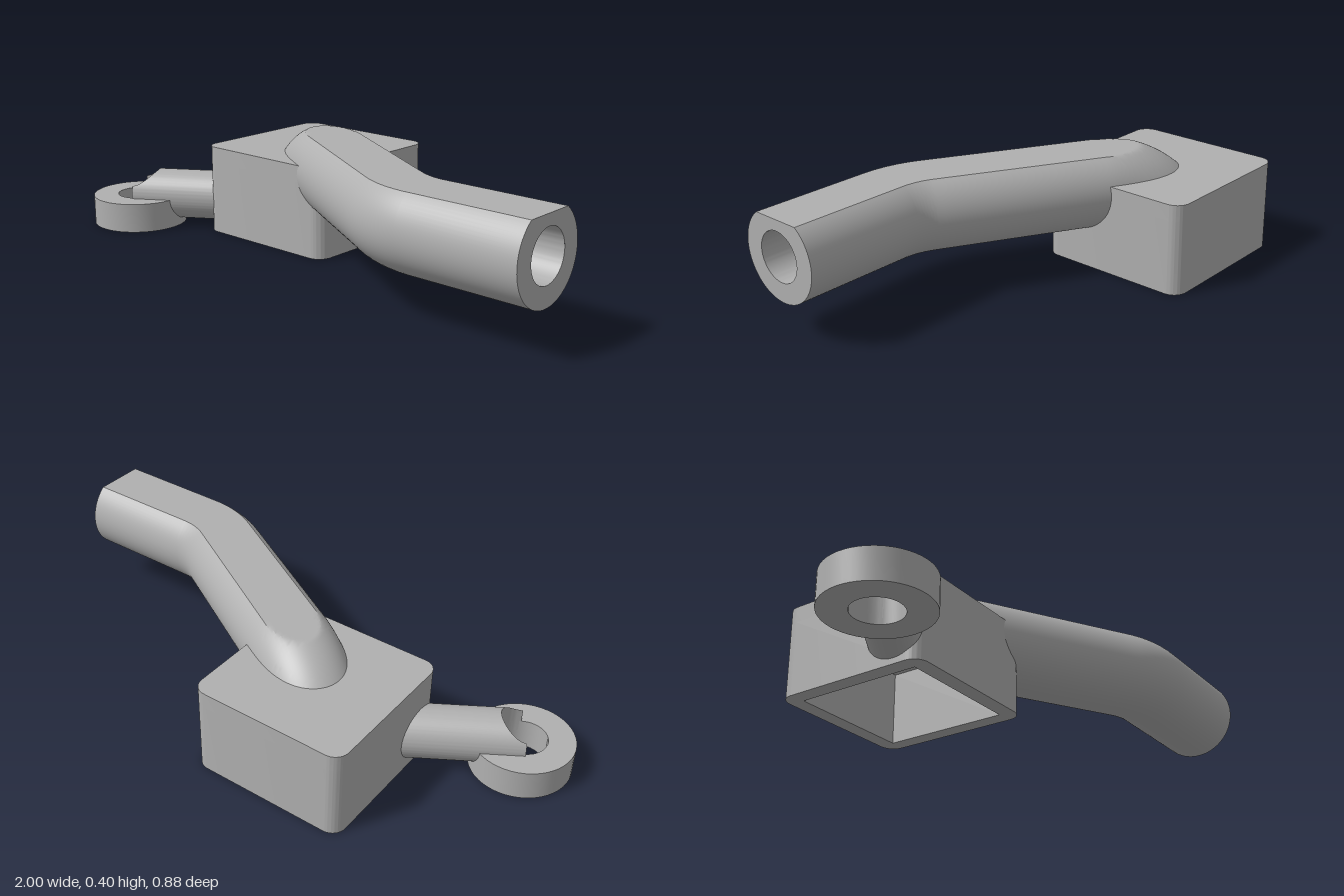
import * as THREE from 'three';
import { toCreasedNormals } from 'three/addons/utils/BufferGeometryUtils.js';

const V = (x, y, z) => new THREE.Vector3(x, y, z);
const UP = V(0, 1, 0);
const PIPE_Y = 0.28, PIPE_R = 0.15, BORE_R = 0.083, FLAT_Y = 0.4, BEND = 0.3;
const CUT = Math.asin((FLAT_Y - PIPE_Y) / PIPE_R); // where the flat top meets the round

// Surface through rows of points
function skin(rows, inward = false) {
  const n = rows[0].length, idx = [];
  for (let i = 0; i < rows.length - 1; i++) {
    for (let j = 0; j < n - 1; j++) {
      const a = i * n + j, b = a + n, c = a + 1, d = b + 1;
      if (inward) idx.push(a, c, b, c, d, b);
      else idx.push(a, b, c, c, b, d);
    }
  }
  const g = new THREE.BufferGeometry().setFromPoints(rows.flat());
  g.setIndex(idx);
  return toCreasedNormals(g, 0.5);
}

// Plan shape (shape y = -z) raised from y0 to y1
function raise(shape, y0, y1) {
  const g = new THREE.ExtrudeGeometry(shape, { depth: y1 - y0, bevelEnabled: false, curveSegments: 24 });
  g.rotateX(-Math.PI / 2).translate(0, y0, 0);
  return toCreasedNormals(g, 0.5);
}

function roundedPlan(x0, x1, z0, z1, r) {
  const s = new THREE.Shape(), q = Math.PI / 2;
  s.absarc(x1 - r, -z0 - r, r, 0, q);
  s.absarc(x0 + r, -z0 - r, r, q, 2 * q);
  s.absarc(x0 + r, -z1 + r, r, 2 * q, 3 * q);
  s.absarc(x1 - r, -z1 + r, r, 3 * q, 4 * q);
  s.closePath();
  return s;
}

// Pipe centre line: rises out of the housing, runs diagonally, then bends straight
function pipePath() {
  const path = [], tilt = Math.PI / 6;
  const dir = V(Math.cos(tilt), 0, Math.sin(tilt));
  const side = V(-dir.z, 0, dir.x);
  const start = V(-0.06, PIPE_Y, -0.038), mid = V(0.44, PIPE_Y, 0.25);
  for (let i = 0; i < 40; i++) {
    const a = (50 * (1 - i / 40) * Math.PI) / 180;
    const p = start.clone().addScaledVector(dir, -BEND * Math.sin(a));
    p.y -= BEND * (1 - Math.cos(a));
    path.push({ p, side, up: side.clone().cross(dir.clone().multiplyScalar(Math.cos(a)).addScaledVector(UP, Math.sin(a))) });
  }
  for (let i = 0; i < 60; i++) path.push({ p: start.clone().lerp(mid, i / 60), side, up: UP });
  for (let i = 0; i <= 16; i++) {
    const a = tilt * (1 - i / 16);
    path.push({
      p: V(0.59 - BEND * Math.sin(a), PIPE_Y, -0.01 + BEND * Math.cos(a)),
      side: V(-Math.sin(a), 0, Math.cos(a)), up: UP,
    });
  }
  path.push({ p: V(1, PIPE_Y, 0.29), side: V(0, 0, 1), up: UP });
  return path;
}

function pipeSkin(radius, inward) {
  const angles = [];
  for (let i = 0; i < 16; i++) angles.push(CUT + ((Math.PI - 2 * CUT) * i) / 16);
  for (let i = 0; i <= 64; i++) angles.push(Math.PI - CUT + ((Math.PI + 2 * CUT) * i) / 64);
  const rows = pipePath().map(({ p, side, up }) => angles.map((a) => {
    const v = p.clone().addScaledVector(side, radius * Math.cos(a)).addScaledVector(up, radius * Math.sin(a));
    v.y = Math.min(v.y, FLAT_Y);
    // keep the hollow of the housing clear
    if (v.x < -0.01 && v.z < 0.09) v.y = Math.max(v.y, 0.29);
    return v;
  }));
  return skin(rows, inward);
}

// Round arm ending at the eyelet, with the eyelet hole cut through it
function armSkin(centre, r, hole, y, endX) {
  const a = (32 * Math.PI) / 180;
  const u = V(Math.cos(a), 0, -Math.sin(a)), side = V(Math.sin(a), 0, Math.cos(a));
  const rows = [[], [], []];
  for (let i = 0; i <= 96; i++) {
    const phi = (i / 96) * Math.PI * 2, w = r * Math.cos(phi), h = r * Math.sin(phi);
    const near = Math.sqrt(Math.max(0, hole * hole - w * w));
    const far = (endX - centre.x - side.x * w) / u.x;
    const at = (t, yy) => centre.clone().addScaledVector(u, t).addScaledVector(side, w).setY(yy);
    rows[0].push(at(near, y));
    rows[1].push(at(near, y + h));
    rows[2].push(at(far, y + h));
  }
  return skin(rows);
}

export function createModel() {
  const model = new THREE.Group();
  const grey = new THREE.MeshStandardMaterial({ color: 0xb0b0b0 });
  grey.name = 'grey';
  const add = (name, geometry, parent = model) => {
    const m = new THREE.Mesh(geometry, grey);
    m.name = name;
    parent.add(m);
    return m;
  };

  // Housing, open underneath
  const housing = new THREE.Group();
  housing.name = 'housing';
  model.add(housing);
  const box = [-0.545, 0.015, -0.442, 0.117];
  const walls = roundedPlan(...box, 0.05);
  const t = 0.055;
  walls.holes.push(new THREE.Path([
    new THREE.Vector2(box[0] + t, -box[2] - t), new THREE.Vector2(box[1] - t, -box[2] - t),
    new THREE.Vector2(box[1] - t, -box[3] + t), new THREE.Vector2(box[0] + t, -box[3] + t),
  ]));
  add('housingWalls', raise(walls, 0, 0.26), housing);
  add('housingTop', raise(roundedPlan(...box, 0.05), 0.26, 0.316), housing);

  // Bent pipe with a flat top and a round bore
  const pipe = new THREE.Group();
  pipe.name = 'pipe';
  model.add(pipe);
  add('pipeOuter', pipeSkin(PIPE_R, false), pipe);
  add('pipeBore', pipeSkin(BORE_R, true), pipe);
  const end = new THREE.Shape();
  end.absarc(-0.29, PIPE_Y, PIPE_R, Math.PI - CUT, 2 * Math.PI + CUT);
  end.closePath();
  end.holes.push(new THREE.Path().absarc(-0.29, PIPE_Y, BORE_R, 0, Math.PI * 2, true));
  add('pipeEnd', new THREE.ShapeGeometry(end, 32).rotateY(Math.PI / 2).translate(1, 0, 0), pipe);

  // Eyelet and its arm
  const eye = V(-0.83, 0, 0.2);
  const ring = new THREE.Shape().absarc(eye.x, -eye.z, 0.17, 0, Math.PI * 2);
  ring.holes.push(new THREE.Path().absarc(eye.x, -eye.z, 0.08, 0, Math.PI * 2, true));
  add('eyelet', raise(ring, 0, 0.105));
  add('eyeletArm', armSkin(eye, 0.09, 0.08, 0.11, -0.505));

  return model;
}
